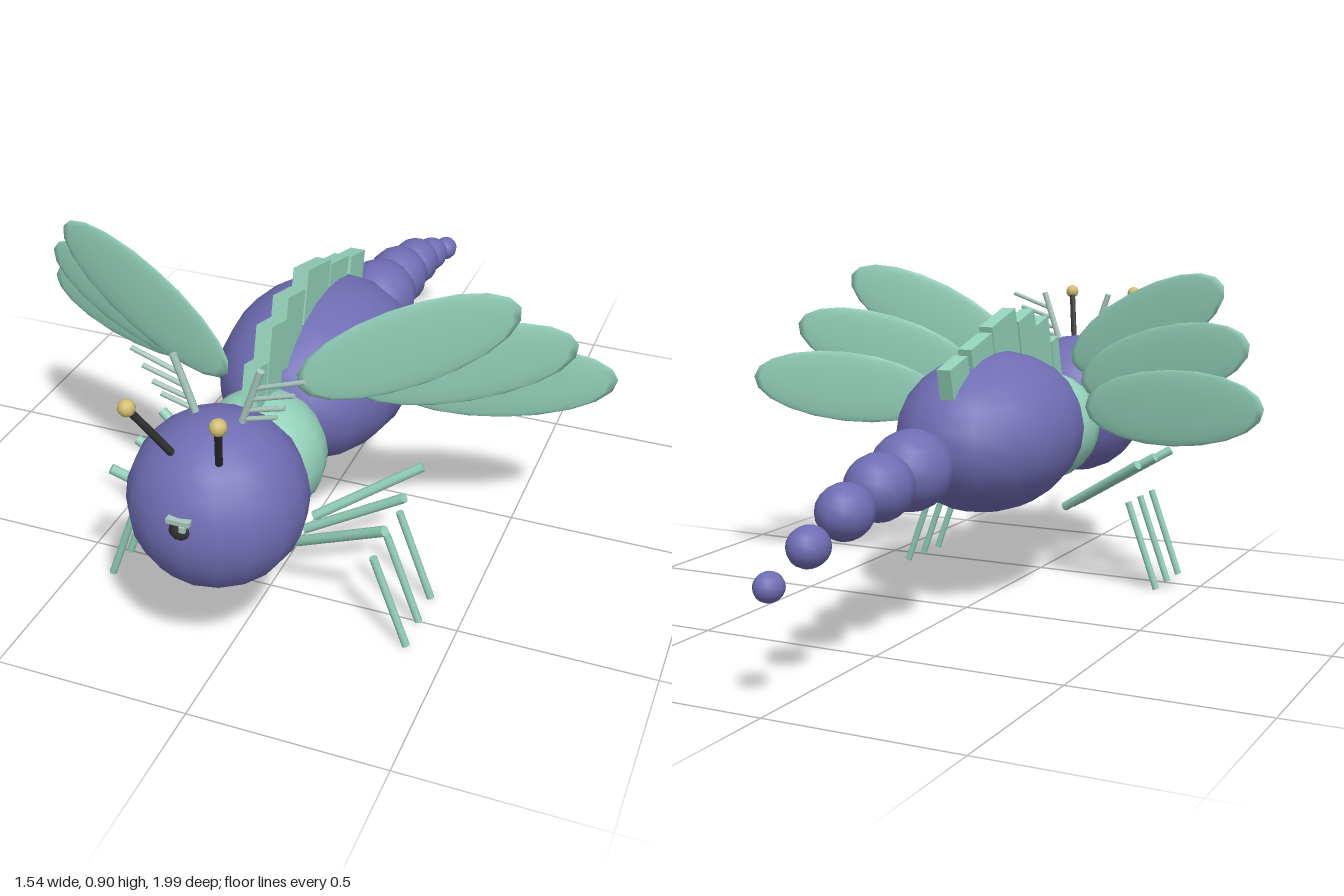
import * as THREE from 'three';

const mat = (name, color) => {
  const m = new THREE.MeshStandardMaterial({ color });
  m.name = name;
  return m;
};
const purple = mat('purple', 0x706db4);
const teal = mat('teal', 0x93d1ba);
const paleTeal = mat('paleTeal', 0xa8c8be);
const dark = mat('dark', 0x333333);
const yellow = mat('yellow', 0xd0be70);

export function createModel() {
  const model = new THREE.Group();
  model.name = 'insect';

  const add = (name, geometry, material, pos, rot = [0, 0, 0]) => {
    const mesh = new THREE.Mesh(geometry, material);
    mesh.name = name;
    mesh.position.set(...pos);
    mesh.rotation.set(...rot);
    model.add(mesh);
    return mesh;
  };
  const ellipsoid = (name, material, pos, radii, rot, w = 16, h = 12) =>
    add(name, new THREE.SphereGeometry(1, w, h).scale(...radii), material, pos, rot);
  // straight round bar between two points
  const rod = (name, material, from, to, radius) => {
    const a = new THREE.Vector3(...from), b = new THREE.Vector3(...to);
    const dir = b.clone().sub(a);
    const mesh = add(name, new THREE.CylinderGeometry(radius, radius, dir.length(), 8), material,
      a.clone().add(b).multiplyScalar(0.5).toArray());
    mesh.quaternion.setFromUnitVectors(new THREE.Vector3(0, 1, 0), dir.normalize());
  };

  // body
  ellipsoid('head', purple, [0, 0.47, 0.775], [0.21, 0.21, 0.21]);
  ellipsoid('thorax', teal, [0, 0.432, 0.53], [0.16, 0.16, 0.16]);
  ellipsoid('abdomen', purple, [0, 0.47, 0.15], [0.245, 0.219, 0.33], [-0.06, 0, 0]);

  // tail beads: y, z, radius across, radius along
  [[0.435, -0.31, 0.105, 0.12], [0.42, -0.473, 0.086, 0.1], [0.39, -0.635, 0.07, 0.08],
    [0.34, -0.795, 0.05, 0.061], [0.285, -0.957, 0.035, 0.041]].forEach(([y, z, r, rz]) =>
    ellipsoid('tailBead', purple, [0, y, z], [r, r, rz], undefined, 12, 10));

  // leaning plates along the back: top y, z, length, height
  [[0.69, 0.545, 0.05, 0.14], [0.75, 0.45, 0.09, 0.2], [0.775, 0.34, 0.11, 0.18],
    [0.78, 0.19, 0.155, 0.16], [0.727, 0.05, 0.13, 0.13], [0.682, -0.085, 0.105, 0.085]]
    .forEach(([top, z, length, height]) => {
      const g = new THREE.BoxGeometry(0.04, height, length).translate(0, -height / 2, 0);
      add('backPlate', g, teal, [0, top, z], [-0.27, 0, 0]);
    });

  // mouth
  ellipsoid('mouth', dark, [0, 0.507, 0.962], [0.03, 0.03, 0.026], undefined, 10, 8);
  add('mouthRidge', new THREE.BoxGeometry(0.055, 0.012, 0.03), paleTeal, [0, 0.534, 0.968]);
  add('mouthTip', new THREE.BoxGeometry(0.014, 0.014, 0.01), paleTeal, [0.012, 0.521, 0.982]);

  for (const s of [1, -1]) {
    // wings: x, y, z, slope
    [[0.335, 0.75, 0.45, 0.45], [0.43, 0.658, 0.33, 0.26], [0.5, 0.557, 0.208, 0.08]]
      .forEach(([x, y, z, slope]) =>
        ellipsoid('wing', teal, [s * x, y, z], [0.282, 0.102, 0.01], [0, s * 0.25, s * slope], 16, 10));

    // legs, in two separate sections
    for (const k of [1, 0, -1]) {
      rod('upperLeg', teal, [s * 0.1, 0.21, 0.5 + k * 0.055], [s * 0.355, 0.368, 0.5 + k * 0.14], 0.013);
      rod('lowerLeg', teal, [s * 0.312, 0.25, 0.502 + k * 0.097], [s * 0.4, 0.006, 0.502 + k * 0.097], 0.01);
    }

    // antennae
    rod('antenna', dark, [s * 0.054, 0.63, 0.875], [s * 0.105, 0.8, 0.975], 0.009);
    ellipsoid('antennaTip', yellow, [s * 0.105, 0.8, 0.975], [0.02, 0.02, 0.02], undefined, 10, 8);

    // combs on the crown
    rod('combStem', paleTeal, [s * 0.05, 0.65, 0.755], [s * 0.105, 0.81, 0.755], 0.009);
    [[0.095, 0.765, 0.208, 0.805], [0.085, 0.735, 0.182, 0.765], [0.078, 0.705, 0.16, 0.728],
      [0.07, 0.68, 0.14, 0.7]].forEach(([x0, y0, x1, y1]) =>
      rod('combTooth', paleTeal, [s * x0, y0, 0.755], [s * x1, y1, 0.755], 0.006));
  }
  return model;
}
